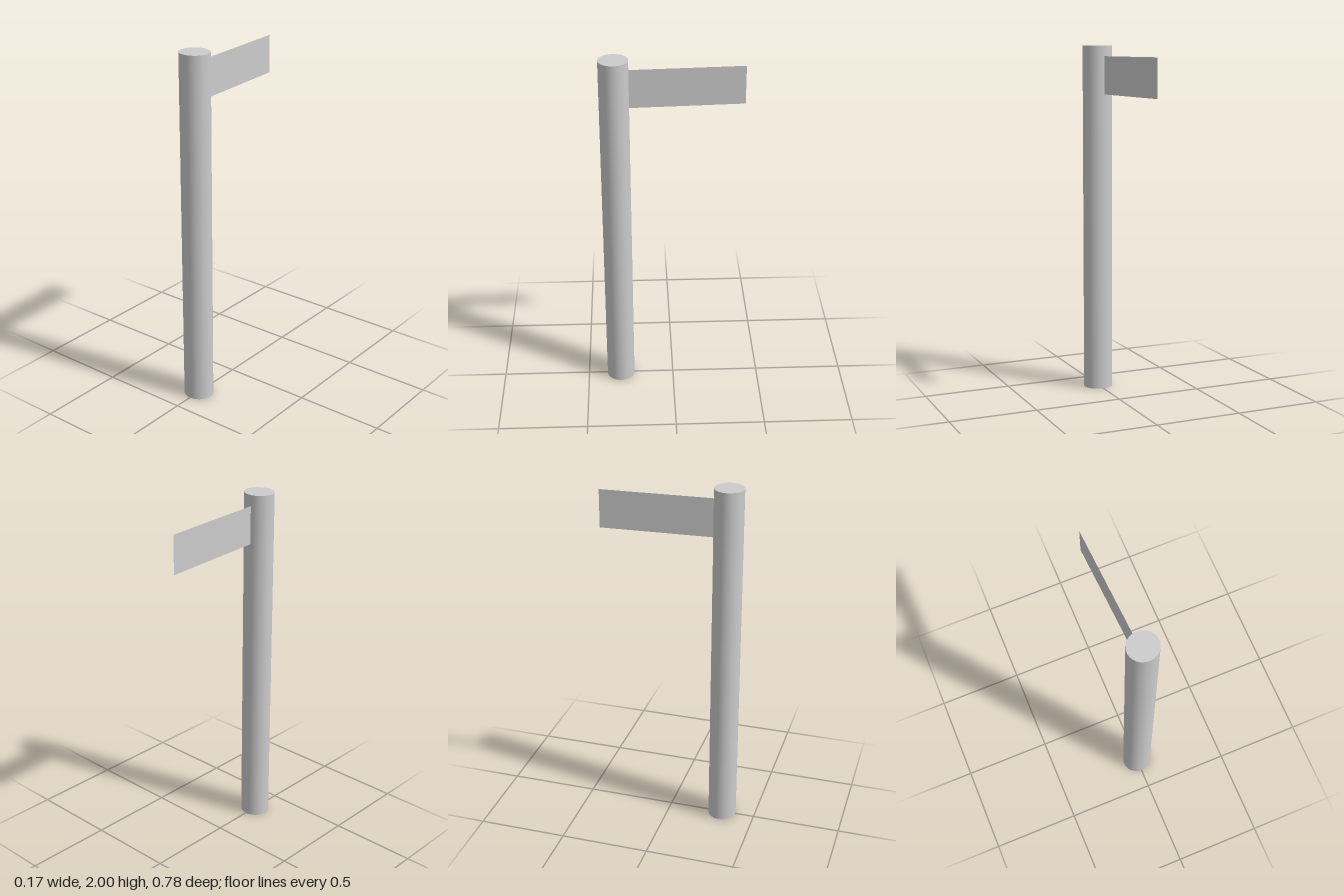
import * as THREE from 'three';

export function createModel() {
  const group = new THREE.Group();
  group.name = 'signpost';
  const grey = { color: 0xcccccc };

  // Slightly oval upright post
  const post = new THREE.Mesh(
    new THREE.CylinderGeometry(1, 1, 2, 64),
    new THREE.MeshStandardMaterial(grey)
  );
  post.name = 'post';
  post.geometry.scale(0.084, 1, 0.08);
  post.position.set(0, 1, 0.31);
  group.add(post);

  // Thin blank sign panel reaching backwards, swung slightly towards -x
  const near = new THREE.Vector2(-0.01, 0.23);
  const far = new THREE.Vector2(-0.044, -0.39);
  const panel = new THREE.Mesh(
    new THREE.PlaneGeometry(near.distanceTo(far), 0.215),
    new THREE.MeshStandardMaterial({ ...grey, side: THREE.DoubleSide })
  );
  panel.name = 'signPanel';
  panel.rotation.y = -Math.atan2(near.y - far.y, near.x - far.x);
  panel.position.set((near.x + far.x) / 2, 1.832, (near.y + far.y) / 2);
  group.add(panel);

  return group;
}
